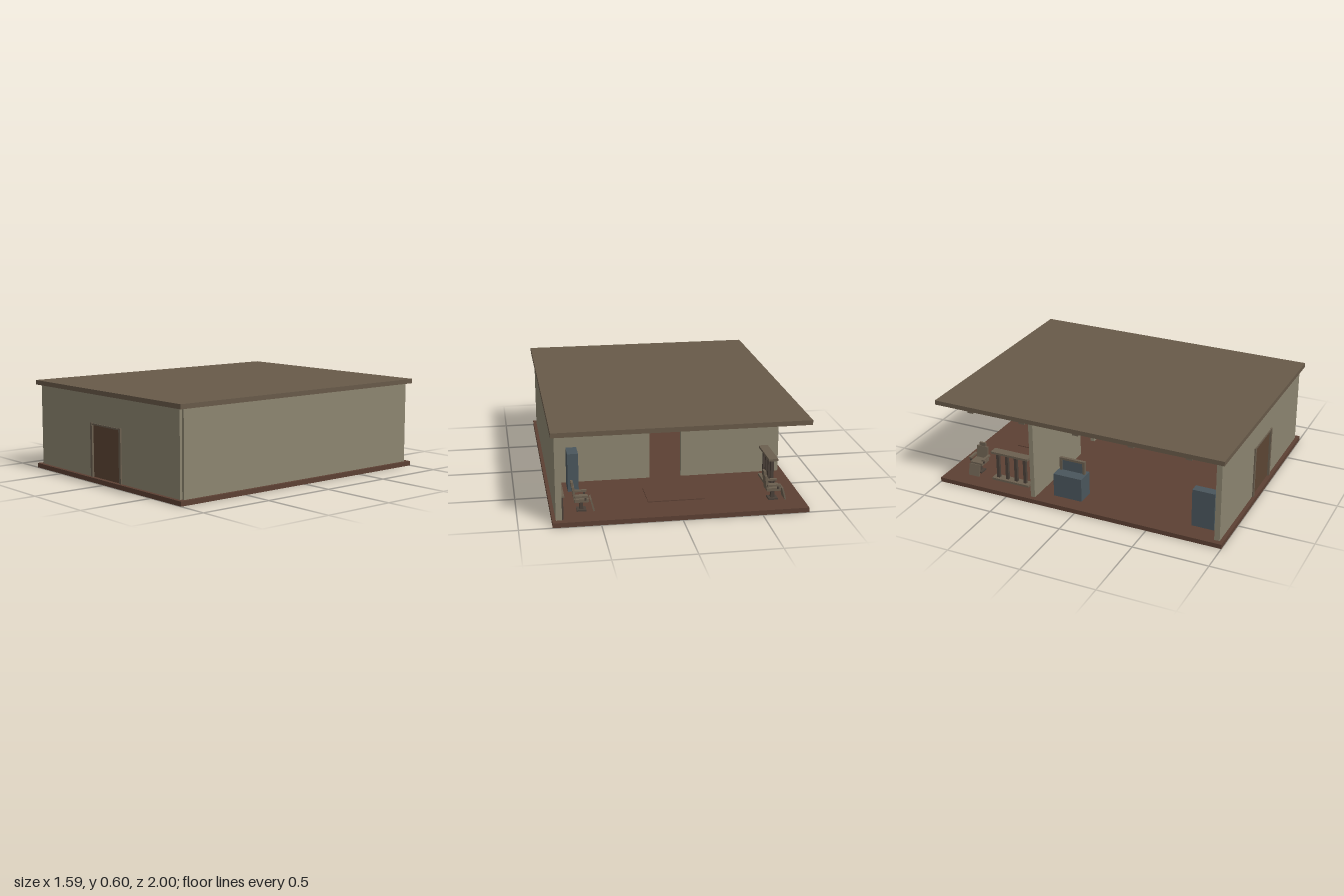
import * as THREE from 'three';

const mat = (name, color) => {
  const m = new THREE.MeshStandardMaterial({ color });
  m.name = name;
  return m;
};

export function createModel() {
  const wall = mat('plaster', 0x8c8570);
  const roof = mat('roofBrown', 0x685a49);
  const floor = mat('floorBrown', 0x5c4033);
  const door = mat('doorBrown', 0x5c4534);
  const trim = mat('trimWood', 0x6b5f4f);
  const dark = mat('darkWood', 0x4a4038);
  const steel = mat('blueGrey', 0x4a565c);
  const light = mat('lampWhite', 0xc8c4b8);

  const model = new THREE.Group();
  model.name = 'building';

  // Box given by its min and max corners
  const box = (parent, name, m, x0, x1, y0, y1, z0, z1) => {
    const mesh = new THREE.Mesh(new THREE.BoxGeometry(x1 - x0, y1 - y0, z1 - z0), m);
    mesh.position.set((x0 + x1) / 2, (y0 + y1) / 2, (z0 + z1) / 2);
    mesh.name = name;
    parent.add(mesh);
    return mesh;
  };
  const group = (name, x = 0, y = 0, z = 0) => {
    const g = new THREE.Group();
    g.name = name;
    g.position.set(x, y, z);
    model.add(g);
    return g;
  };

  // Wall along x with a central doorway
  const doorwayWall = (name, x0, x1, half, top, z0, z1) => {
    const g = group(name);
    const s = new THREE.Shape();
    [[x0, 0.03], [-half, 0.03], [-half, top], [half, top], [half, 0.03], [x1, 0.03], [x1, 0.57], [x0, 0.57]]
      .forEach(([x, y], i) => (i ? s.lineTo(x, y) : s.moveTo(x, y)));
    const mesh = new THREE.Mesh(
      new THREE.ExtrudeGeometry(s, { depth: z1 - z0, bevelEnabled: false }), wall);
    mesh.position.z = z0;
    mesh.name = name + 'Panel';
    g.add(mesh);
  };

  // Shell: the back and the -x side are open
  box(model, 'floor', floor, -0.795, 0.795, 0, 0.03, -1, 1);
  box(model, 'roof', roof, -0.795, 0.795, 0.57, 0.6, -1, 1);
  box(model, 'sideWall', wall, 0.735, 0.773, 0.03, 0.57, -0.96, 0.96);
  doorwayWall('frontWall', -0.76, 0.755, 0.15, 0.37, 0.94, 0.976);
  doorwayWall('partition', -0.765, 0.735, 0.105, 0.37, -0.33, -0.3);

  // Ceiling beams
  for (let i = 0; i < 5; i++) {
    const z = -0.76 + i * 0.38;
    box(model, 'ceilingBeam', trim, -0.76, 0.735, 0.54, 0.57, z - 0.02, z + 0.02);
  }

  // Front door and its frame
  box(model, 'frontDoor', door, -0.15, 0.15, 0.03, 0.37, 0.95, 0.972);
  for (const s of [-1, 1]) {
    const x = s * 0.157;
    box(model, 'doorJamb', trim, x - 0.01, x + 0.01, 0.03, 0.382, 0.935, 0.985);
  }
  box(model, 'doorHeader', trim, -0.147, 0.147, 0.368, 0.378, 0.935, 0.982);

  // Dark panelling and rail on the side wall
  box(model, 'wainscot', dark, 0.725, 0.735, 0.03, 0.17, -0.95, -0.33);
  box(model, 'wainscotRail', trim, 0.717, 0.735, 0.17, 0.182, -0.95, -0.33);

  // Low floor panel with a lamp above it
  box(model, 'floorPanel', floor, -0.18, 0.18, 0.03, 0.036, -0.76, -0.52);
  box(model, 'lampCord', dark, -0.002, 0.002, 0.48, 0.57, -0.642, -0.638);
  box(model, 'lamp', light, -0.01, 0.01, 0.46, 0.48, -0.65, -0.63);

  // Cabinets
  box(model, 'backCabinet', steel, 0.59, 0.66, 0.03, 0.285, -0.5, -0.37);
  box(model, 'frontCabinet', steel, -0.66, -0.6, 0.03, 0.285, 0.75, 0.9);

  // Chest with an upright frame
  const chest = group('chest', -0.63, 0.03, -0.1);
  box(chest, 'chestBody', steel, -0.06, 0.06, 0, 0.16, -0.1, 0.1);
  box(chest, 'frameTop', trim, 0.01, 0.03, 0.235, 0.25, -0.09, 0.09);
  for (const s of [-1, 1])
    box(chest, 'framePost', trim, 0.01, 0.03, 0.16, 0.235, s * 0.082 - 0.008, s * 0.082 + 0.008);
  box(chest, 'framePanel', steel, 0.018, 0.024, 0.16, 0.235, -0.074, 0.074);

  // Rack: two slabs joined by bars
  const rack = group('rack', -0.645, 0.03, -0.537);
  box(rack, 'rackBase', trim, -0.03, 0.03, 0, 0.015, -0.137, 0.137);
  box(rack, 'rackTop', trim, -0.03, 0.03, 0.195, 0.21, -0.137, 0.137);
  for (let i = 0; i < 4; i++) {
    const z = -0.1 + i * 0.067;
    box(rack, 'rackBar', dark, -0.01, 0.01, 0.015, 0.195, z - 0.01, z + 0.01);
  }

  // Two matching armchairs facing the open side
  for (const x of [-0.605, 0.605]) {
    const chair = group('chair', x, 0.03, -0.81);
    box(chair, 'chairFoot', dark, -0.03, 0.03, 0, 0.01, -0.03, 0.03);
    box(chair, 'chairPost', dark, -0.012, 0.012, 0.01, 0.07, -0.012, 0.012);
    box(chair, 'seat', trim, -0.045, 0.045, 0.065, 0.085, -0.045, 0.045);
    const back = box(chair, 'backrest', trim, 0.038, 0.053, 0.08, 0.165, -0.04, 0.04);
    back.rotation.z = -0.12;
    box(chair, 'headrest', trim, 0.048, 0.062, 0.165, 0.19, -0.022, 0.022);
    for (const s of [-1, 1]) {
      box(chair, 'armrest', trim, -0.04, 0.045, 0.1, 0.112, s * 0.05 - 0.008, s * 0.05 + 0.008);
      box(chair, 'armPost', dark, -0.03, -0.018, 0.08, 0.1, s * 0.05 - 0.005, s * 0.05 + 0.005);
    }
    const rest = box(chair, 'footPanel', trim, -0.072, -0.062, 0, 0.08, -0.04, 0.04);
    rest.rotation.z = -0.25;
  }

  return model;
}
